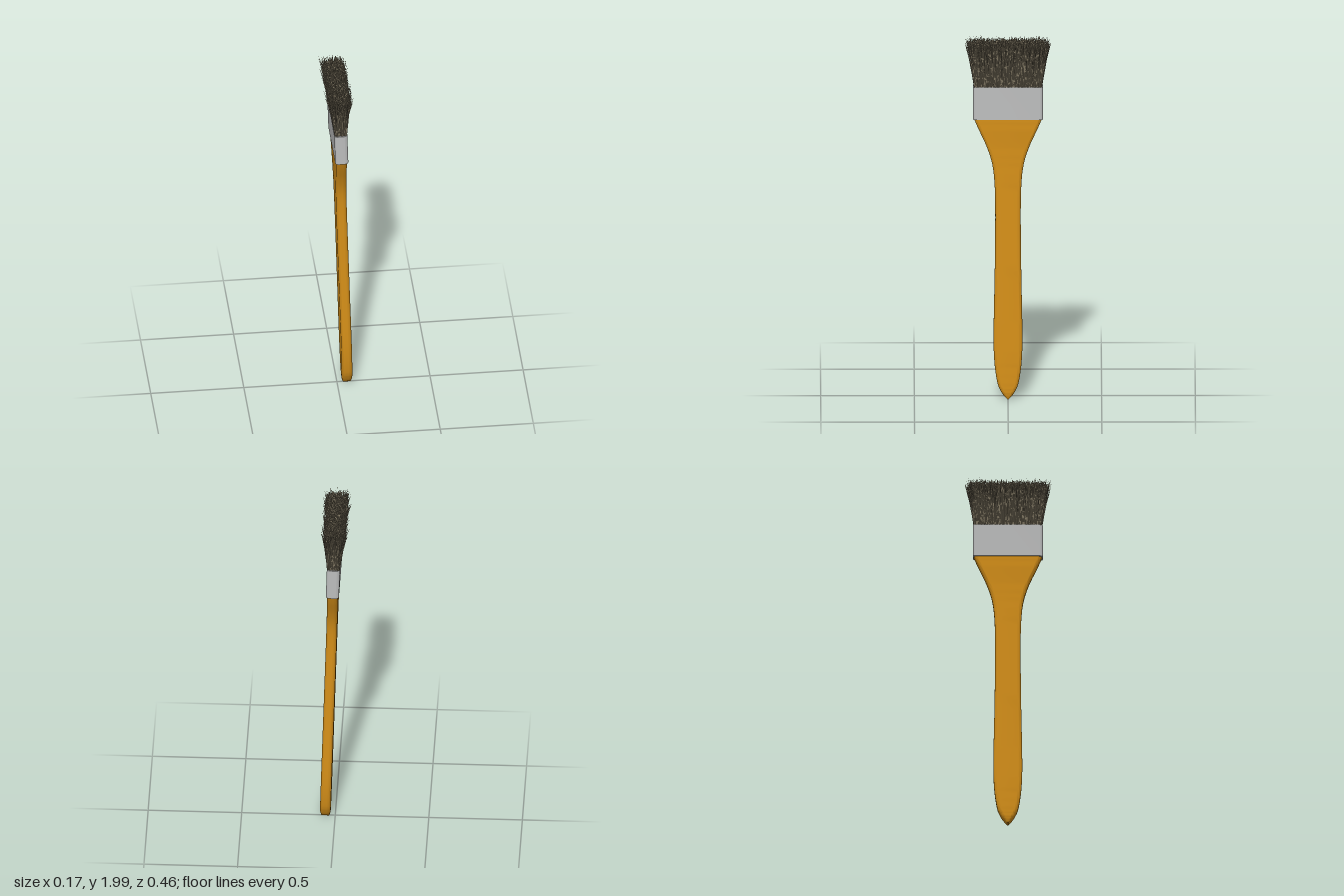
import * as THREE from 'three';
import { toCreasedNormals } from 'three/addons/utils/BufferGeometryUtils.js';

const AXIS_TOP = 1.731; // where the bristles leave the ferrule

function makeRandom(seed) {
  return () => {
    seed = (seed * 1664525 + 1013904223) % 4294967296;
    return seed / 4294967296;
  };
}

// Rounded rectangle outline in x/z
function roundedOutline(hx, hz, radius, steps = 7) {
  const r = Math.min(radius, hx * 0.98, hz * 0.98);
  const corners = [[1, 1], [-1, 1], [-1, -1], [1, -1]];
  const points = [];
  corners.forEach(([sx, sz], q) => {
    for (let k = 0; k <= steps; k++) {
      const a = (q + k / steps) * Math.PI / 2;
      points.push([sx * (hx - r) + r * Math.cos(a), sz * (hz - r) + r * Math.sin(a)]);
    }
  });
  return points;
}

// Closed solid through rounded sections {y, hx, hz, r}
function loft(sections, crease) {
  const positions = [], index = [];
  let n = 0;
  for (const s of sections) {
    const outline = roundedOutline(s.hx, s.hz, s.r);
    n = outline.length;
    for (const [x, z] of outline) positions.push(x, s.y, z);
  }
  const last = sections.length - 1;
  for (let i = 0; i < last; i++) {
    for (let j = 0; j < n; j++) {
      const a = i * n + j, b = i * n + (j + 1) % n;
      index.push(a, a + n, b + n, a, b + n, b);
    }
  }
  const c = positions.length / 3;
  positions.push(0, sections[0].y, 0, 0, sections[last].y, 0);
  for (let j = 0; j < n; j++) {
    const k = (j + 1) % n;
    index.push(c, j, k, c + 1, last * n + k, last * n + j);
  }
  const g = new THREE.BufferGeometry();
  g.setAttribute('position', new THREE.Float32BufferAttribute(positions, 3));
  g.setIndex(index);
  return toCreasedNormals(g, crease);
}

// Flat paddle handle: pointed butt, slim neck, flared shoulders
function handleGeometry() {
  const profile = new THREE.SplineCurve([
    [0.004, 0.006], [0.024, 0.025], [0.044, 0.06], [0.058, 0.1], [0.071, 0.19],
    [0.077, 0.3], [0.076, 0.45], [0.071, 0.7], [0.068, 1.0], [0.071, 1.18],
    [0.084, 1.3], [0.115, 1.4], [0.16, 1.5], [0.185, 1.56],
  ].map(([w, y]) => new THREE.Vector2(w, y)));
  const sections = profile.getPoints(65).map(({ x, y }) => {
    const t = Math.min(1, y / 0.05);
    const hx = 0.013 + 0.0155 * Math.sqrt(1 - (1 - t) * (1 - t));
    return { y, hx, hz: x, r: 0.021 };
  });
  return loft(sections, 0.6);
}

// Metal band
function ferruleGeometry() {
  return loft([1.551, AXIS_TOP].map((y) => ({ y, hx: 0.035, hz: 0.187, r: 0.018 })), 0.6);
}

// Tapered, outward-bending three-sided hairs merged into one geometry
function bristleGeometry(count, seed) {
  const rand = makeRandom(seed);
  const jitter = () => rand() + rand() - 1;
  const positions = [], index = [];
  const levels = [[0, 0.0024], [0.6, 0.0024], [0.88, 0.0015]];
  for (let i = 0; i < count; i++) {
    const u = rand() * 2 - 1, v = rand() * 2 - 1;
    const base = [u * 0.031, AXIS_TOP - 0.015, v * 0.179];
    const tip = [
      u * 0.05 + jitter() * 0.032,
      1.975 + jitter() * 0.025,
      v * 0.208 + jitter() * 0.034,
    ];
    const bend = 1.15 + rand() * 0.8;
    const spin = rand() * Math.PI * 2;
    const at = (t) => {
      const k = Math.pow(t, bend);
      return [
        base[0] + (tip[0] - base[0]) * k,
        base[1] + (tip[1] - base[1]) * t,
        base[2] + (tip[2] - base[2]) * k,
      ];
    };
    const o = positions.length / 3;
    for (const [t, r] of levels) {
      const p = at(t);
      for (let j = 0; j < 3; j++) {
        const a = spin + j * Math.PI * 2 / 3;
        positions.push(p[0] + r * Math.cos(a), p[1], p[2] + r * Math.sin(a));
      }
    }
    positions.push(...tip);
    for (let j = 0; j < 3; j++) {
      const k = (j + 1) % 3;
      for (const s of [o, o + 3]) {
        index.push(s + j, s + 3 + j, s + 3 + k, s + j, s + 3 + k, s + k);
      }
      index.push(o + 6 + j, o + 9, o + 6 + k);
    }
  }
  const g = new THREE.BufferGeometry();
  g.setAttribute('position', new THREE.Float32BufferAttribute(positions, 3));
  g.setIndex(index);
  g.computeVertexNormals();
  return g;
}

export function createModel() {
  const material = (name, color) => {
    const m = new THREE.MeshStandardMaterial({ color });
    m.name = name;
    return m;
  };
  const wood = material('varnished wood', 0xd69019);
  const metal = material('dull metal', 0xbcbdbd);
  const hair = material('grey brown hair', 0x8a806a);

  const brush = new THREE.Group();
  brush.name = 'brush';
  const add = (name, geometry, mat) => {
    const mesh = new THREE.Mesh(geometry, mat);
    mesh.name = name;
    brush.add(mesh);
  };
  add('handle', handleGeometry(), wood);
  add('ferrule', ferruleGeometry(), metal);
  add('bristles', bristleGeometry(4800, 11), hair);

  // The whole brush leans slightly toward -x
  brush.rotation.z = 0.0295;
  brush.position.x = 0.0535;

  const model = new THREE.Group();
  model.name = 'paintbrush';
  model.add(brush);
  return model;
}
